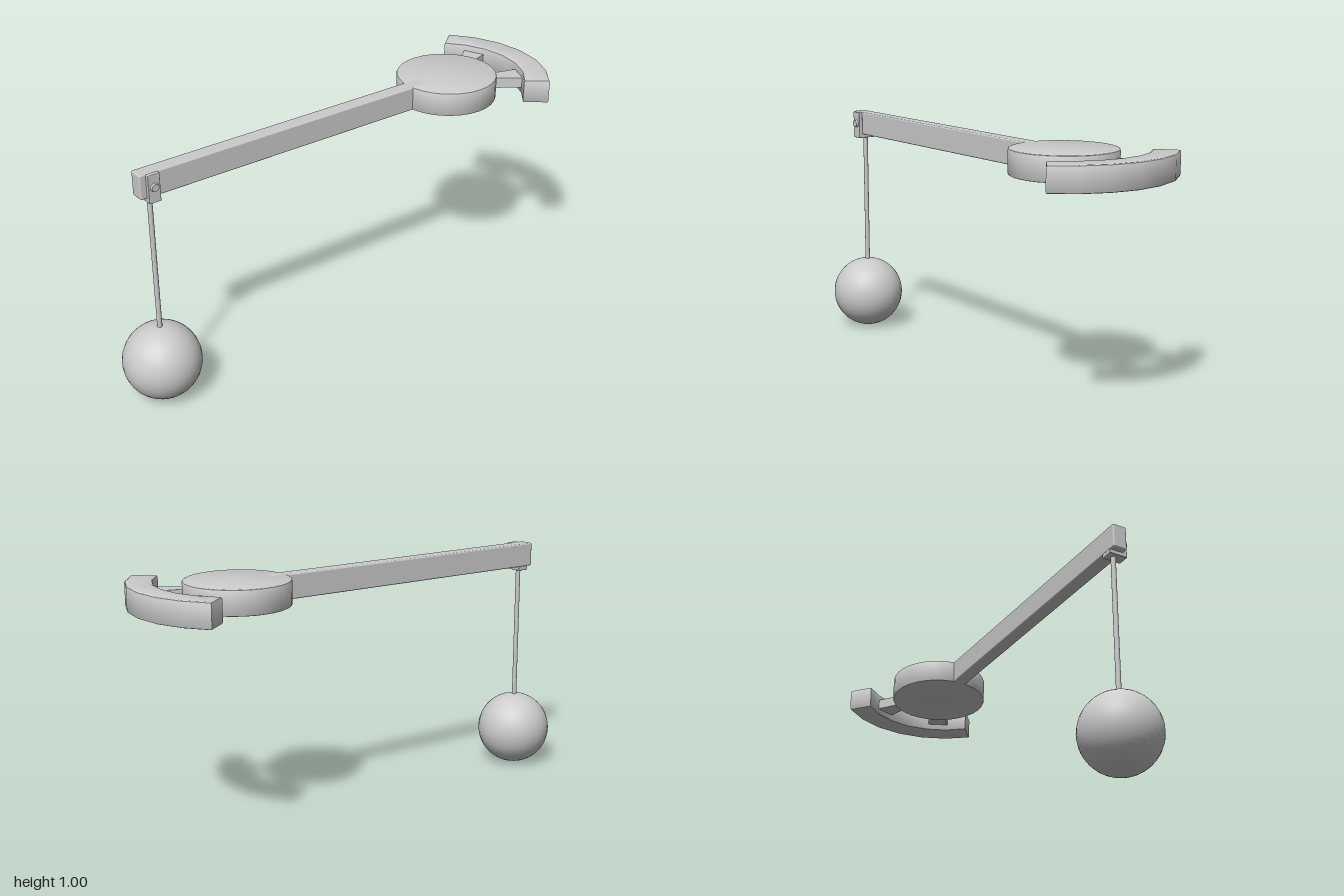
import * as THREE from 'three';
import { toCreasedNormals } from 'three/addons/utils/BufferGeometryUtils.js';
import { RoundedBoxGeometry } from 'three/addons/geometries/RoundedBoxGeometry.js';

const material = new THREE.MeshStandardMaterial({ color: 0xcccccc });

// Plan outline given as [x, z] points, extruded between two heights.
function slab(points, bottom, top, bevel) {
  const shape = new THREE.Shape(points.map(([x, z]) => new THREE.Vector2(x, z)));
  const geometry = new THREE.ExtrudeGeometry(shape, {
    depth: top - bottom - 2 * bevel,
    bevelEnabled: bevel > 0,
    bevelThickness: bevel,
    bevelSize: bevel,
    bevelOffset: -bevel,
    bevelSegments: 2,
  });
  geometry.rotateX(Math.PI / 2).translate(0, top - bevel, 0);
  return toCreasedNormals(geometry, 0.6);
}

export function createModel() {
  const model = new THREE.Group();
  const add = (name, geometry, x = 0, y = 0, z = 0) => {
    const mesh = new THREE.Mesh(geometry, material);
    mesh.name = name;
    mesh.position.set(x, y, z);
    model.add(mesh);
    return mesh;
  };

  // Horizontal beam ending inside the round hub
  add('beam', new RoundedBoxGeometry(1.345, 0.1, 0.06, 2, 0.006), -0.2225, 0.95, 0);

  // Hub disc with softened rims
  const b = 0.006, r = 0.208;
  const rim = [[0, 0.9], [r - b, 0.9], [r - b * 0.3, 0.9 + b * 0.3], [r, 0.9 + b],
    [r, 1 - b], [r - b * 0.3, 1 - b * 0.3], [r - b, 1], [0, 1]];
  const disc = new THREE.LatheGeometry(rim.map(([x, y]) => new THREE.Vector2(x, y)), 32);
  add('hubDisc', toCreasedNormals(disc, 0.6), 0.577);

  // Curved counterweight at the far end
  const arc = (radius, halfAngle, steps = 6) => Array.from({ length: steps + 1 }, (_, i) => {
    const a = halfAngle * (2 * i / steps - 1);
    return [0.55 + radius * Math.cos(a), radius * Math.sin(a)];
  });
  add('curvedWeight', slab([...arc(0.445, 0.787), ...arc(0.341, 0.82).reverse()], 0.9, 1, 0.008));

  // Two flared spokes joining hub and counterweight
  const spoke = [[0.70, 0.08], [0.875, 0.208], [0.91, 0.109], [0.71, 0.05]];
  for (const side of [1, -1]) {
    add(side > 0 ? 'frontSpoke' : 'backSpoke',
      slab(spoke.map(([x, z]) => [x, z * side]), 0.928, 0.973, 0));
  }

  // L-shaped hanger bracket with its screw
  const hangX = -0.845;
  add('bracketPlate', new RoundedBoxGeometry(0.05, 0.115, 0.018, 1, 0.003), hangX, 0.9425, 0.038);
  add('bracketFoot', new RoundedBoxGeometry(0.05, 0.018, 0.079, 1, 0.003), hangX, 0.893, 0.0075);
  add('bracketScrew', new THREE.CylinderGeometry(0.015, 0.018, 0.012, 16), hangX, 0.948, 0.05)
    .rotation.x = Math.PI / 2;

  // Pendulum
  add('pendulumRod', new THREE.CylinderGeometry(0.01, 0.01, 0.61, 12), hangX, 0.59);
  add('pendulumBall', new THREE.SphereGeometry(0.157, 32, 24), hangX, 0.16);

  return model;
}
